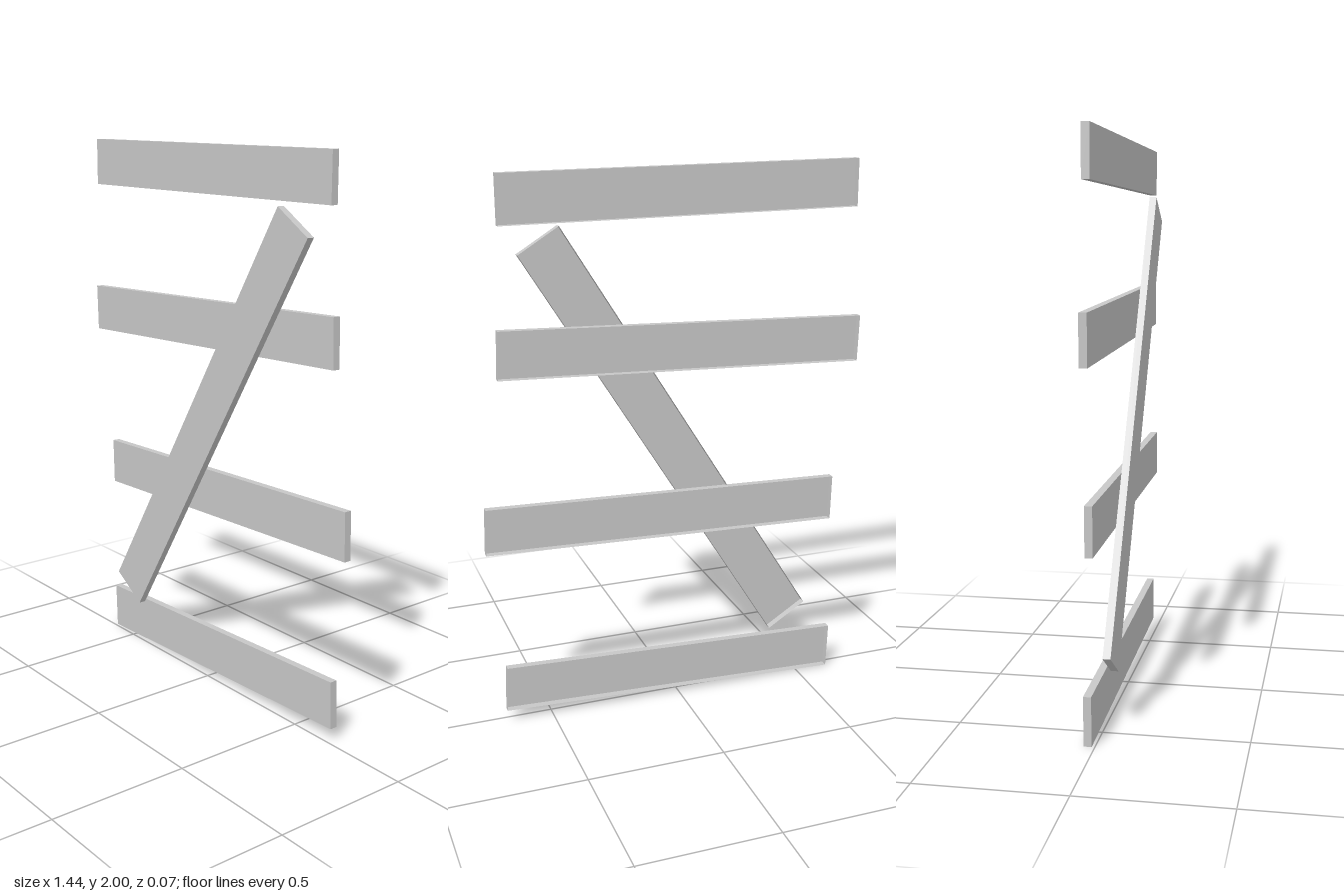
import * as THREE from 'three';

const WIDTH = 0.172;
const DEPTH = 0.027;

// Shallow plank shell: front and four edges, open at the back
function plankGeometry(length) {
  const geometry = new THREE.BoxGeometry(length, WIDTH, DEPTH);
  const index = Array.from(geometry.index.array);
  geometry.setIndex(index.slice(0, 30)); // the last box side is the back
  geometry.clearGroups();
  return geometry;
}

export function createModel() {
  const group = new THREE.Group();
  group.name = 'plankBarricade';
  const grey = new THREE.MeshStandardMaterial({ color: 0xc7c7c7, side: THREE.DoubleSide });
  grey.name = 'light grey';

  // name, length, centre x, y, z, tilt in degrees
  const planks = [
    ['topPlank', 1.32, -0.031, 1.913, -0.01, -0.2],
    ['upperPlank', 1.366, -0.034, 1.365, -0.015, 2.0],
    ['lowerPlank', 1.347, 0.046, 0.738, -0.019, 1.6],
    ['bottomPlank', 1.302, 0.018, 0.11, -0.024, 2.1],
    ['diagonalBrace', 1.812, 0.007, 0.996, 0.023, 58.1],
  ];
  for (const [name, length, x, y, z, tilt] of planks) {
    const plank = new THREE.Mesh(plankGeometry(length), grey);
    plank.name = name;
    plank.position.set(x, y, z);
    plank.rotation.z = THREE.MathUtils.degToRad(tilt);
    group.add(plank);
  }
  return group;
}
